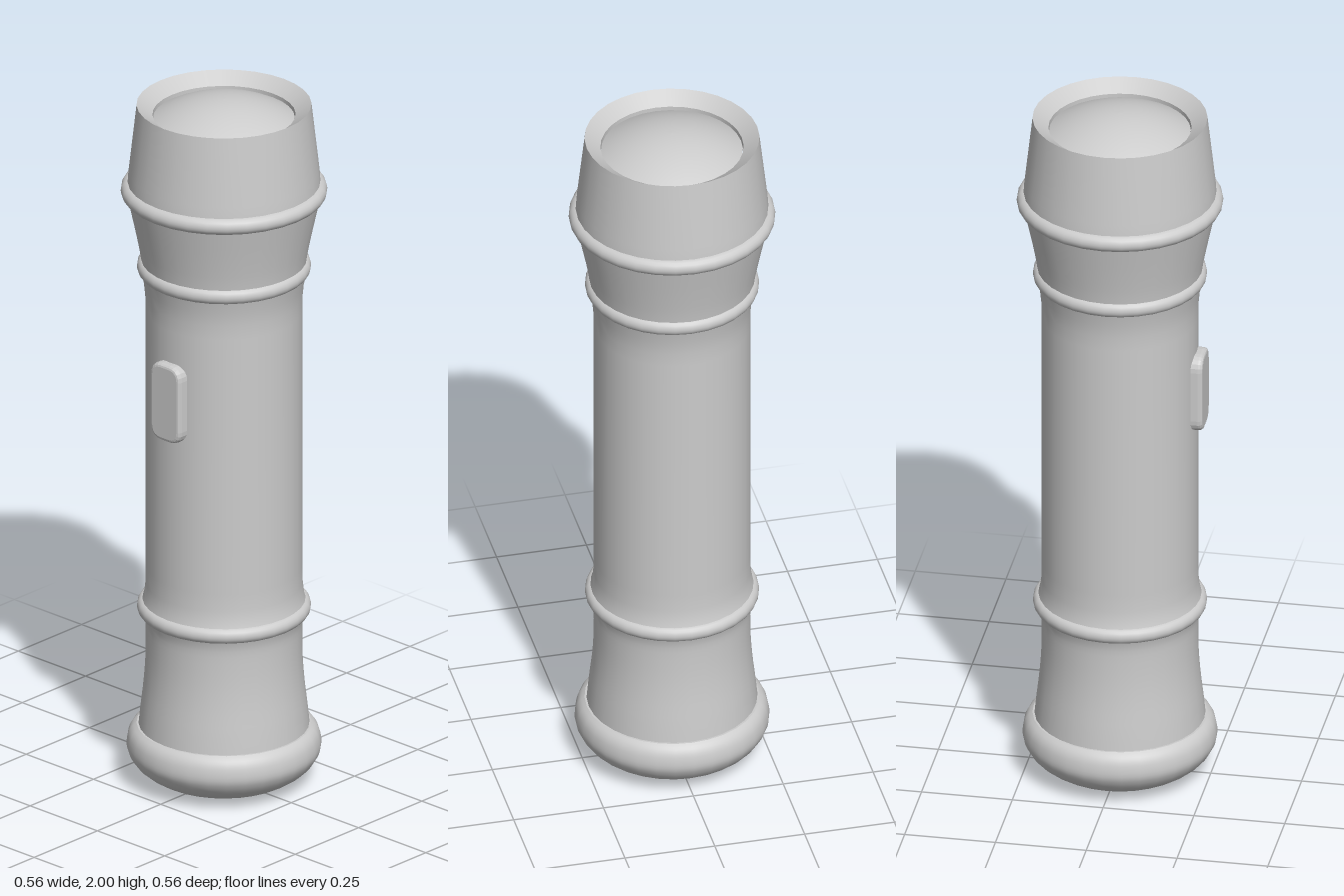
import * as THREE from 'three';

const SEGMENTS = 32;
const material = new THREE.MeshStandardMaterial({ color: 0xcccccc });

// Revolves [radius, height] pairs around the y axis, outside facing out.
function turned(name, pairs, smooth = 0) {
  let points = pairs.map(([r, y]) => new THREE.Vector2(r, y));
  if (smooth) points = new THREE.SplineCurve(points).getPoints(smooth);
  points.forEach((p) => { p.x = Math.max(p.x, 0); });
  const mesh = new THREE.Mesh(new THREE.LatheGeometry(points, SEGMENTS), material);
  mesh.name = name;
  return mesh;
}

// Rounded bead running around the tube.
function bead(name, y, outer, halfHeight, depth) {
  const pairs = [];
  for (let i = 0; i <= 10; i++) {
    const a = -Math.PI / 2 + (Math.PI * i) / 10;
    pairs.push([outer - depth + depth * Math.cos(a), y + halfHeight * Math.sin(a)]);
  }
  return turned(name, pairs);
}

// Raised button with rounded corners on the -x side.
function createSwitch() {
  const w = 0.045, h = 0.103, r = 0.03;
  const shape = new THREE.Shape();
  shape.moveTo(-w + r, -h);
  shape.lineTo(w - r, -h);
  shape.quadraticCurveTo(w, -h, w, -h + r);
  shape.lineTo(w, h - r);
  shape.quadraticCurveTo(w, h, w - r, h);
  shape.lineTo(-w + r, h);
  shape.quadraticCurveTo(-w, h, -w, h - r);
  shape.lineTo(-w, -h + r);
  shape.quadraticCurveTo(-w, -h, -w + r, -h);
  const geometry = new THREE.ExtrudeGeometry(shape, {
    depth: 0.04, bevelThickness: 0.012, bevelSize: 0.01, bevelSegments: 3, curveSegments: 5,
  });
  geometry.rotateY(-Math.PI / 2);
  const mesh = new THREE.Mesh(geometry, material);
  mesh.position.set(-0.184, 1.176, 0);
  mesh.name = 'switch';
  return mesh;
}

export function createModel() {
  const group = new THREE.Group();
  group.name = 'flashlight';

  // Tail cap with a shallow recess underneath
  group.add(
    turned('tailRecess', [[0, 0.006], [0.108, 0.006]]),
    turned('tailRecessWall', [[0.108, 0.006], [0.113, 0]]),
    turned('tailRim', [[0.113, 0], [0.133, 0]]),
    turned('tailCap', [[0.133, 0], [0.19, 0.02], [0.235, 0.05], [0.257, 0.08], [0.264, 0.105],
      [0.26, 0.135], [0.25, 0.154], [0.237, 0.165]], 20),
    turned('tailCapTop', [[0.237, 0.165], [0.215, 0.165]]),
  );

  // Handle: flared tail, straight grip and flared neck
  group.add(
    turned('tailSleeve', [[0.232, 0.16], [0.226, 0.22], [0.218, 0.29], [0.213, 0.36], [0.212, 0.43],
      [0.214, 0.47], [0.222, 0.5]], 14),
    turned('grip', [[0.225, 0.52], [0.217, 0.545], [0.213, 0.58], [0.212, 0.63], [0.212, 1.38],
      [0.213, 1.42], [0.217, 1.46], [0.226, 1.5]]),
    createSwitch(),
  );

  // Flared head
  group.add(
    turned('headCone', [[0.223, 1.52], [0.229, 1.56], [0.241, 1.62], [0.253, 1.675], [0.263, 1.72]], 10),
    turned('headSleeve', [[0.262, 1.745], [0.259, 1.79], [0.237, 1.985]]),
    turned('headBevel', [[0.237, 1.985], [0.194, 1.955]]),
    turned('headBore', [[0.194, 1.955], [0.194, 1.925]]),
  );

  // Beads between the sections
  group.add(
    bead('lowerBead', 0.511, 0.236, 0.022, 0.02),
    bead('neckBead', 1.511, 0.236, 0.022, 0.02),
    bead('headBead', 1.735, 0.28, 0.024, 0.024),
  );

  // Domed lens
  const lens = [];
  for (let i = 0; i <= 10; i++) {
    const r = 0.192 * (1 - i / 10);
    lens.push([r, 2 - 0.055 * (r / 0.192) ** 2]);
  }
  group.add(turned('lens', lens));

  return group;
}
